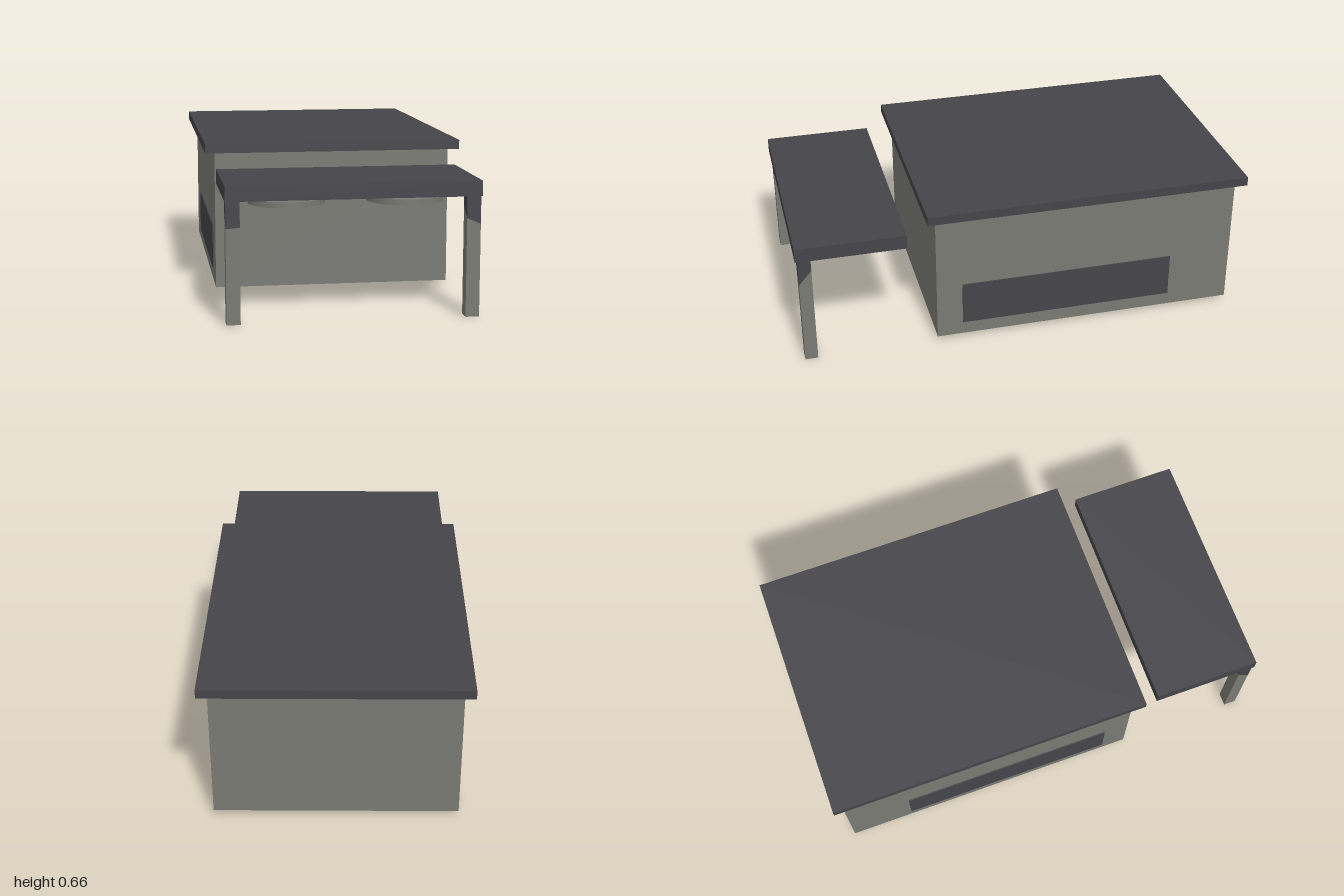
import * as THREE from 'three';

export function createModel() {
  const model = new THREE.Group();
  const wall = new THREE.MeshStandardMaterial({ color: 0x7a7a74 });
  wall.name = 'warm grey';
  const dark = new THREE.MeshStandardMaterial({ color: 0x454449 });
  dark.name = 'charcoal';

  function add(name, geometry, material, x = 0, y = 0, z = 0) {
    const mesh = new THREE.Mesh(geometry, material);
    mesh.name = name;
    mesh.position.set(x, y, z);
    model.add(mesh);
    return mesh;
  }

  // Box given by its lower and upper limits on each axis
  function block(name, material, x0, x1, y0, y1, z0, z1) {
    return add(name, new THREE.BoxGeometry(x1 - x0, y1 - y0, z1 - z0), material,
      (x0 + x1) / 2, (y0 + y1) / 2, (z0 + z1) / 2);
  }

  // Main building and its overhanging roof
  block('buildingBody', wall, -0.518, 0.518, 0.02, 0.62, -0.96, 0.40);
  block('mainRoof', dark, -0.56, 0.56, 0.62, 0.66, -1, 0.44);

  // Free-standing front canopy
  block('canopyRoof', dark, -0.52, 0.52, 0.50, 0.563, 0.522, 1);

  // Post section whose top or bottom is cut along a slanted seam
  function postPart(name, material, side, seam, upper) {
    const geometry = new THREE.BoxGeometry(1, 1, 1);
    const p = geometry.attributes.position;
    for (let i = 0; i < p.count; i++) {
      const outer = p.getX(i) > 0 === side > 0;
      const front = p.getZ(i) > 0;
      const top = p.getY(i) > 0;
      const cut = front ? (outer ? seam[0] : seam[1]) : (outer ? seam[2] : seam[3]);
      const y = top === upper ? (upper ? 0.50 : 0) : cut;
      p.setXYZ(i, side * (outer ? 0.517 : 0.46), y, front ? 0.99 : 0.934);
    }
    geometry.computeVertexNormals();
    add(name, geometry, material);
  }

  for (const side of [-1, 1]) {
    const label = side > 0 ? 'left' : 'right';

    // Canopy post: painted upper end above a plain shaft
    const seam = side > 0 ? [0.385, 0.41, 0.45, 0.45] : [0.39, 0.395, 0.45, 0.45];
    postPart(label + 'PostShaft', wall, side, seam, false);
    postPart(label + 'PostTop', dark, side, seam, true);

    // Round disc under the canopy
    add(label + 'CanopyDisc', new THREE.CylinderGeometry(0.16, 0.16, 0.024, 48), wall,
      side * 0.248, 0.467, 0.76);

    // Long side panel
    block(label + 'SidePanel', dark, side * 0.5205 - 0.0025, side * 0.5205 + 0.0025,
      0.08, 0.277, -0.675, 0.285);
  }

  return model;
}
